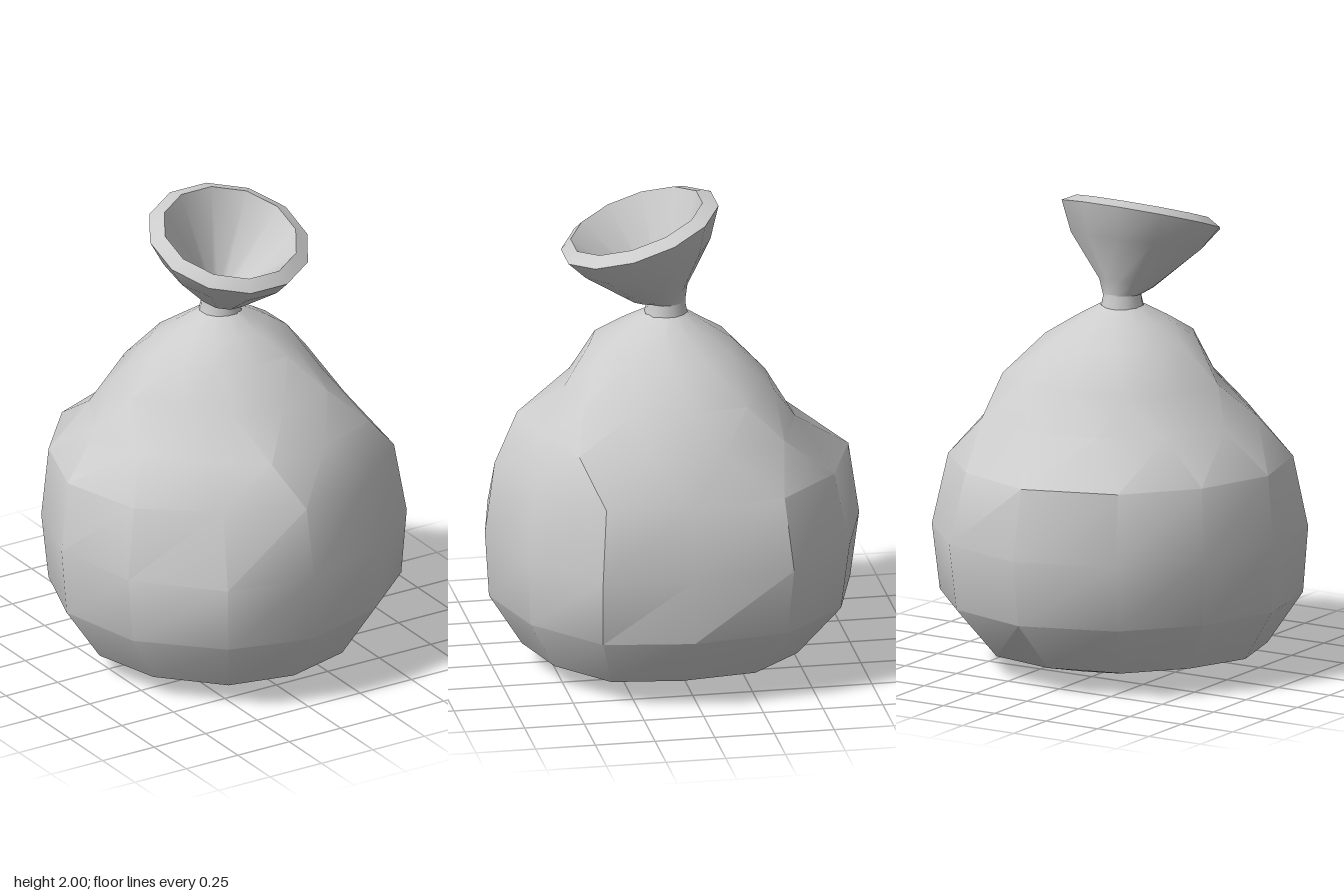
import * as THREE from 'three';
import { toCreasedNormals } from 'three/addons/utils/BufferGeometryUtils.js';

const SIDES = 12;
// Uneven sack outline [x, z], starting at the front and going towards +x
const OUTLINE = [
  [0.01, 0.78], [0.39, 0.67], [0.69, 0.41], [0.72, 0.02], [0.69, -0.39], [0.43, -0.67],
  [0.05, -0.78], [-0.36, -0.64], [-0.61, -0.35], [-0.73, 0], [-0.65, 0.39], [-0.36, 0.70],
];

// One irregular ring of the sack: scaled, shifted, twisted; folds maps a corner to its bulge or dent
function sackRing(y, scale, cx = 0, cz = 0, twist = 0, folds = {}) {
  const c = Math.cos(twist), n = Math.sin(twist);
  return OUTLINE.map(([x, z], i) => {
    const s = scale * (folds[i] ?? 1);
    return new THREE.Vector3(cx + s * (x * c + z * n), y, cz + s * (z * c - x * n));
  });
}

// One round ring, tilted so that it drops towards the front
function roundRing(y, r, cx, cz, tilt = 0, widen = 1) {
  return Array.from({ length: SIDES }, (_, i) => {
    const a = ((i + 0.5) / SIDES) * Math.PI * 2;
    return new THREE.Vector3(cx + r * widen * Math.sin(a), y - tilt * r * Math.cos(a), cz + r * Math.cos(a));
  });
}

// Skin consecutive rings, leaving out collapsed triangles
function loft(rings, crease) {
  const pos = [];
  const tri = (a, b, c) => {
    if (new THREE.Triangle(a, b, c).getArea() > 1e-7) {
      for (const p of [a, b, c]) pos.push(p.x, p.y, p.z);
    }
  };
  for (let k = 0; k < rings.length - 1; k++) {
    const lo = rings[k], hi = rings[k + 1];
    for (let i = 0; i < SIDES; i++) {
      const j = (i + 1) % SIDES;
      tri(lo[i], lo[j], hi[j]);
      tri(lo[i], hi[j], hi[i]);
    }
  }
  const geo = new THREE.BufferGeometry();
  geo.setAttribute('position', new THREE.Float32BufferAttribute(pos, 3));
  return toCreasedNormals(geo, crease);
}

export function createModel() {
  const group = new THREE.Group();
  const cloth = new THREE.MeshStandardMaterial({ color: 0xcccccc });
  cloth.name = 'cloth';
  const add = (name, rings, crease) => {
    const mesh = new THREE.Mesh(loft(rings, crease), cloth);
    mesh.name = name;
    group.add(mesh);
  };

  // Full sack, twisting in towards the neck, with a deep dent at the front right
  add('sackBody', [
    sackRing(0, 0, 0.03, 0.04),
    sackRing(0.01, 0.34, 0.03, 0.04),
    sackRing(0.09, 0.755, 0, 0.035, 0, { 3: 1.03, 9: 1.03, 6: 0.96 }),
    sackRing(0.31, 0.965, 0, 0.01, 0, { 3: 1.04, 9: 1.01, 11: 0.98 }),
    sackRing(0.59, 1),
    sackRing(0.89, 0.945, -0.01, 0, 0, { 4: 0.98, 5: 0.97, 10: 0.96, 11: 0.87 }),
    sackRing(1.07, 0.75, 0.01, 0.05, -0.2,
      { 1: 0.96, 2: 1.04, 4: 0.95, 5: 1.04, 6: 0.96, 7: 0.95, 8: 1.04, 10: 0.96, 11: 0.86 }),
    sackRing(1.23, 0.58, 0.03, 0.01, -0.45,
      { 0: 0.94, 2: 1.05, 4: 0.95, 5: 1.04, 7: 0.95, 8: 1.04, 10: 1.04, 11: 0.87 }),
    sackRing(1.385, 0.4, 0.02, 0.03, -0.6, { 2: 1.03, 4: 0.97, 5: 1.03, 7: 0.97, 8: 1.03, 11: 0.95 }),
    sackRing(1.46, 0.25, 0.025, 0.03, -0.7),
    sackRing(1.52, 0.115, 0.025, 0.025, -0.75),
  ], 0.62);

  // Tied neck
  add('neck', [
    roundRing(1.515, 0.09, 0.025, 0.025),
    roundRing(1.545, 0.083, 0.025, 0.025),
    roundRing(1.575, 0.08, 0.025, 0.025),
  ], 0.9);

  // Open mouth: outside, thick rim, inside and closed bottom
  add('mouth', [
    roundRing(1.57, 0.085, 0.025, 0.03),
    roundRing(1.605, 0.115, 0.02, 0.05, 0.3),
    roundRing(1.775, 0.27, 0.01, 0.11, 0.26, 1.04),
    roundRing(1.882, 0.325, 0, 0.13, 0.34, 1.05),
    roundRing(1.912, 0.272, 0, 0.143, 0.336, 1.04),
    roundRing(1.6, 0.052, 0.02, 0.045),
    roundRing(1.6, 0, 0.02, 0.045),
  ], 0.62);

  return group;
}
